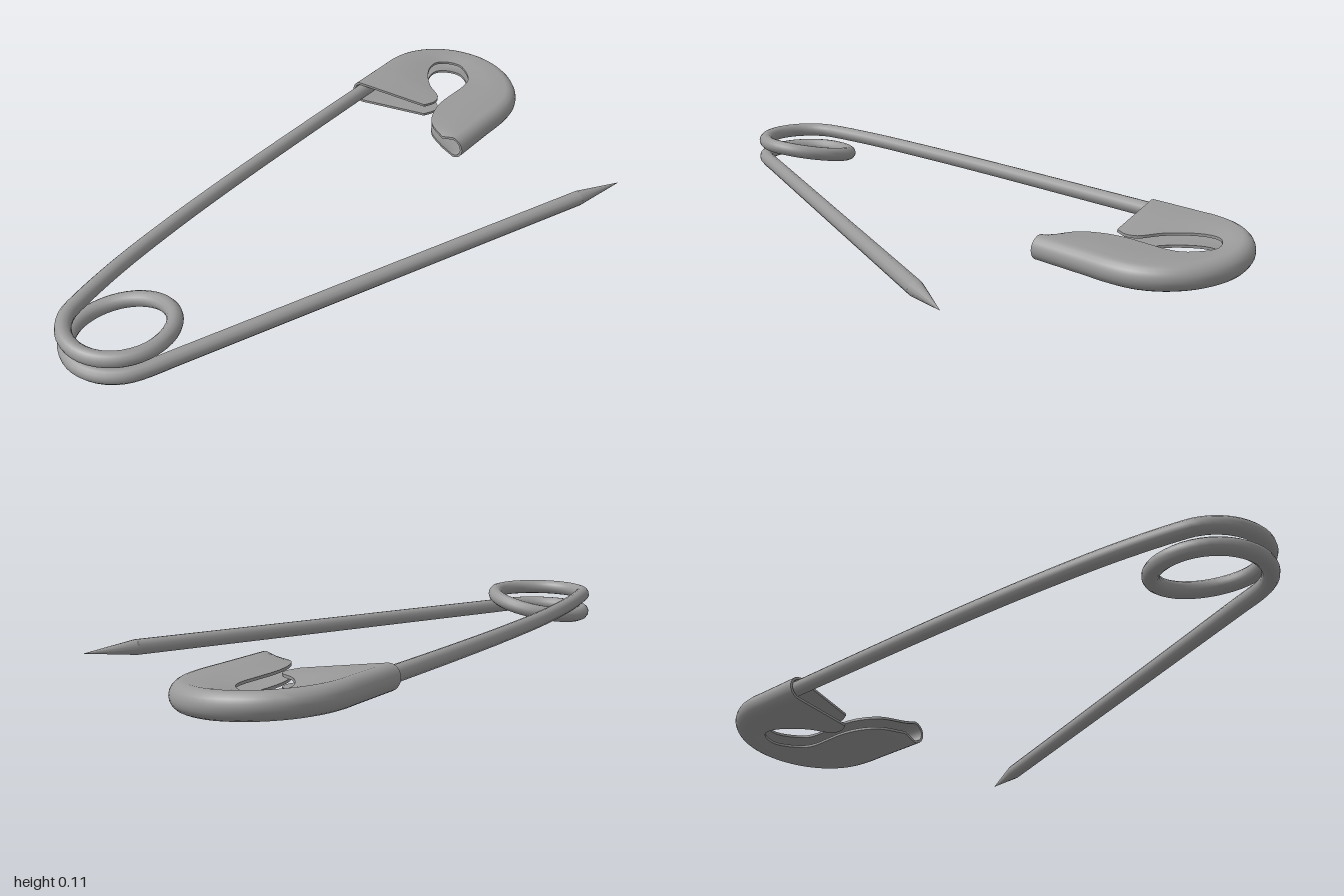
import * as THREE from 'three';
import { toCreasedNormals } from 'three/addons/utils/BufferGeometryUtils.js';

const V = (x, y, z) => new THREE.Vector3(x, y, z);
const WIRE = 0.0235;

// Wire: long arm, one and a half coil turns, then the straight pin
function wireCurve(pinEnd) {
  const cx = -0.24, cz = 0.82, R = 0.15;
  const pts = [
    V(-0.465, 0.076, -0.6), V(-0.463, 0.076, -0.2), V(-0.458, 0.077, 0.1),
    V(-0.445, 0.079, 0.4), V(-0.42, 0.083, 0.66),
  ];
  const a0 = Math.PI * 0.97, a1 = -2 * Math.PI + 0.363, n = 28;
  for (let i = 0; i <= n; i++) {
    const a = a0 + (a1 - a0) * i / n;
    const drop = THREE.MathUtils.smoothstep(-a, 0, Math.PI);
    pts.push(V(cx + R * Math.cos(a), 0.086 - 0.06 * drop, cz + R * Math.sin(a)));
  }
  const last = pts[pts.length - 1].clone();
  for (const t of [0.06, 0.2, 0.5, 0.8, 1]) pts.push(last.clone().lerp(pinEnd, t));
  return new THREE.CatmullRomCurve3(pts);
}

// Clasp: folded sheet swept between an outer rail and an inner rail (x, z pairs)
function claspGeometry() {
  const outer = [
    [-0.5, -0.55], [-0.5, -0.62], [-0.5, -0.68], [-0.5, -0.72], [-0.5, -0.77], [-0.485, -0.84],
    [-0.44, -0.915], [-0.36, -0.975], [-0.25, -1], [-0.14, -0.975], [-0.06, -0.915],
    [-0.015, -0.84], [0, -0.76], [0, -0.66], [0, -0.58], [0, -0.53], [0, -0.49],
  ];
  const inner = [
    [-0.235, -0.605], [-0.22, -0.645], [-0.23, -0.68], [-0.29, -0.72], [-0.335, -0.77], [-0.36, -0.82],
    [-0.36, -0.86], [-0.33, -0.89], [-0.285, -0.9], [-0.235, -0.87], [-0.21, -0.84],
    [-0.2, -0.8], [-0.2, -0.74], [-0.2, -0.66], [-0.185, -0.59], [-0.15, -0.53], [-0.08, -0.49],
  ];
  const rail = (p) => new THREE.CatmullRomCurve3(p.map(([x, z]) => V(x, 0, z)));
  const outerRail = rail(outer), innerRail = rail(inner);
  const r = 0.037, sheet = 0.008, rows = 64, arc = 10;

  // One face of the fold: upper plate, rounded edge, lower plate
  function fold(O, I, n, inset) {
    const Q = O.clone().addScaledVector(n, r), k = r - inset, line = [];
    const add = (p, h) => line.push(V(p.x, 0.042 - 0.066 * p.x + h, p.z));
    const plate = (t, s) => add(Q.clone().lerp(I, t), s * (THREE.MathUtils.lerp(r, 0.022, t) - inset));
    plate(1, 1);
    plate(0.5, 1);
    for (let i = 0; i <= arc; i++) {
      const a = Math.PI * (0.5 - i / arc);
      add(O.clone().addScaledVector(n, r - k * Math.cos(a)), k * Math.sin(a));
    }
    plate(0.5, -1);
    plate(1, -1);
    return line;
  }

  const pos = [], idx = [], m = arc + 5, len = 2 * m;
  for (let i = 0; i <= rows; i++) {
    const u = i / rows, T = outerRail.getTangent(u);
    const O = outerRail.getPoint(u), I = innerRail.getPoint(u), n = V(-T.z, 0, T.x);
    const loop = [...fold(O, I, n, 0), ...fold(O, I, n, sheet).reverse()];
    loop.forEach((p) => pos.push(p.x, p.y, p.z));
  }
  for (let i = 0; i < rows; i++) {
    for (let j = 0; j < len; j++) {
      const a = i * len + j, b = i * len + (j + 1) % len, c = a + len, d = b + len;
      idx.push(a, c, b, b, c, d);
    }
  }
  // Sheet thickness at both ends
  const e = rows * len;
  for (let j = 0; j < m - 1; j++) {
    const p = j, q = j + 1, s = len - 2 - j, t = len - 1 - j;
    idx.push(p, q, s, p, s, t, e + p, e + s, e + q, e + p, e + t, e + s);
  }
  const g = new THREE.BufferGeometry();
  g.setAttribute('position', new THREE.Float32BufferAttribute(pos, 3));
  g.setIndex(idx);
  return toCreasedNormals(g, 0.7);
}

export function createModel() {
  const steel = new THREE.MeshStandardMaterial({ color: 0x999999 });
  steel.name = 'steel';
  const group = new THREE.Group();
  group.name = 'safetyPin';
  const add = (name, geometry) => {
    const mesh = new THREE.Mesh(geometry, steel);
    mesh.name = name;
    group.add(mesh);
    return mesh;
  };

  const pinEnd = V(0.437, 0.04, -0.492), tipEnd = V(0.497, 0.04, -0.645);
  add('wire', new THREE.TubeGeometry(wireCurve(pinEnd), 190, WIRE, 12, false));

  // Sharpened point
  const dir = tipEnd.clone().sub(pinEnd);
  const tip = add('point', new THREE.ConeGeometry(WIRE, dir.length(), 12));
  tip.position.copy(pinEnd).addScaledVector(dir, 0.5);
  tip.quaternion.setFromUnitVectors(V(0, 1, 0), dir.clone().normalize());

  add('clasp', claspGeometry());
  return group;
}
